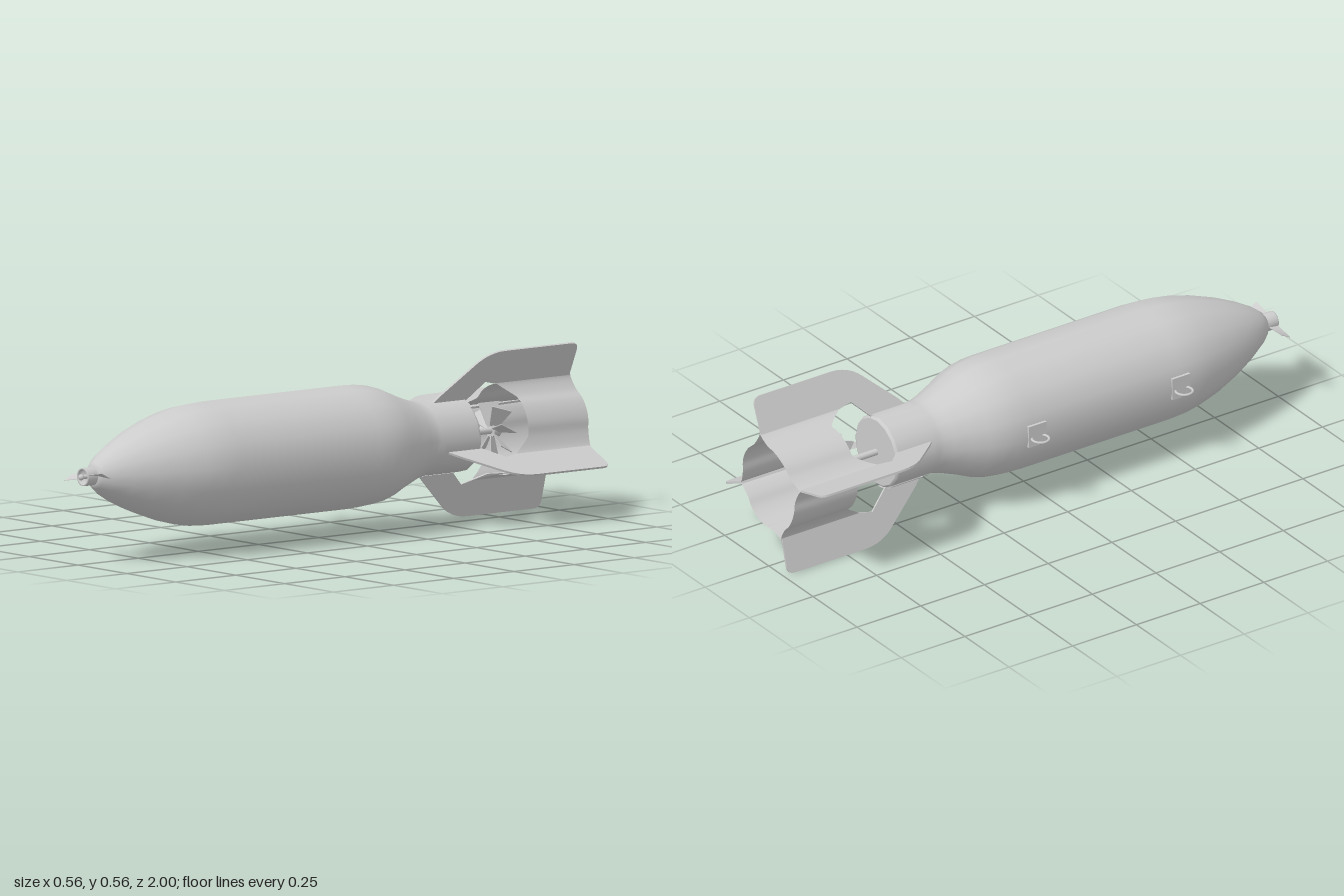
import * as THREE from 'three';

const CX = 0.004, CY = 0.289;
const RAD = Math.PI / 180;
const TIP = 0.298;

// Tail fins: angle of the tip around the axis, and direction of the plate
const FINS = [[68, 65], [163, 166], [253, 256.5], [338, 334.5]];

// Point on a fin's centre line at distance r from the axis
function finPoint(i, r) {
  const [tip, dir] = FINS[i];
  return new THREE.Vector3(
    TIP * Math.cos(tip * RAD) + (r - TIP) * Math.cos(dir * RAD),
    TIP * Math.sin(tip * RAD) + (r - TIP) * Math.sin(dir * RAD), 0);
}

export function createModel() {
  const model = new THREE.Group();
  model.name = 'finnedCasing';
  const root = new THREE.Group();
  root.name = 'assembly';
  root.position.set(CX, CY, 0);
  model.add(root);

  const grey = new THREE.MeshStandardMaterial({ color: 0xcccccc });
  const sheet = new THREE.MeshStandardMaterial({ color: 0xcccccc, side: THREE.DoubleSide });

  function add(name, geometry, material = grey, parent = root) {
    const mesh = new THREE.Mesh(geometry, material);
    mesh.name = name;
    parent.add(mesh);
    return mesh;
  }
  // Solid of revolution about z, from [radius, z] pairs running back to front
  function lathe(name, pairs, sides) {
    const g = new THREE.LatheGeometry(pairs.map(([r, z]) => new THREE.Vector2(r, z)), sides);
    g.rotateX(Math.PI / 2);
    g.rotateZ(2.8 * RAD);
    return add(name, g);
  }

  // Casing: tail cylinder, shoulder, barrel and rounded nose
  lathe('body', [
    [0, -0.576], [0.114, -0.576], [0.116, -0.576], [0.122, -0.57], [0.122, -0.565],
    [0.122, -0.41], [0.124, -0.39], [0.132, -0.36], [0.155, -0.3], [0.177, -0.25],
    [0.192, -0.2], [0.199, -0.15], [0.201, -0.1], [0.201, 0.48], [0.197, 0.55],
    [0.187, 0.61], [0.166, 0.69], [0.133, 0.78], [0.1, 0.85], [0.068, 0.905],
    [0.043, 0.935], [0.028, 0.946], [0, 0.946],
  ], 16);

  // Nose fuze: cupped collar with a rounded pin
  lathe('noseCollar', [
    [0.026, 0.93], [0.03, 0.942], [0.03, 0.982], [0.029, 0.985], [0.025, 0.985],
    [0.024, 0.982], [0.022, 0.968], [0, 0.968],
  ], 20);
  const pin = add('nosePin', new THREE.SphereGeometry(0.01, 12, 8));
  pin.position.z = 0.99;
  const stem = add('nosePinStem', new THREE.CylinderGeometry(0.007, 0.007, 0.03, 10).rotateX(Math.PI / 2));
  stem.position.z = 0.973;

  // Two nose vanes, pitched more towards the tips
  for (let k = 0; k < 2; k++) {
    const g = new THREE.BoxGeometry(0.072, 0.002, 0.036, 6, 1, 1);
    const p = g.attributes.position;
    for (let i = 0; i < p.count; i++) {
      const t = (p.getX(i) + 0.036) / 0.072;
      p.setY(i, p.getY(i) + p.getZ(i) * (0.12 + 0.42 * t) + 0.005 * t);
    }
    g.translate(0.06, 0.007, 0.965);
    g.rotateZ(k * Math.PI);
    g.computeVertexNormals();
    add('noseVane' + (k + 1), g);
  }

  // Fin plates with swept front, rounded outer corners and a cut-out at the root
  const s = new THREE.Shape();
  s.moveTo(0.43, 0.112);
  s.lineTo(0.46, 0.148);
  s.lineTo(0.565, 0.25);
  s.quadraticCurveTo(0.61, TIP, 0.68, TIP);
  s.lineTo(0.955, TIP);
  s.quadraticCurveTo(0.985, TIP, 0.985, 0.27);
  s.lineTo(0.987, 0.17);
  s.lineTo(0.74, 0.158);
  s.lineTo(0.635, 0.185);
  s.lineTo(0.57, 0.115);
  const finGeo = new THREE.ExtrudeGeometry(s, { depth: 0.007, bevelEnabled: false, curveSegments: 6 });
  finGeo.translate(0, 0, -0.0035);
  FINS.forEach(([, dir], i) => {
    // Shape x runs towards the tail, shape y outwards along the fin
    const out = new THREE.Vector3(Math.cos(dir * RAD), Math.sin(dir * RAD), 0);
    const back = new THREE.Vector3(0, 0, -1);
    const m = new THREE.Matrix4().makeBasis(back, out, new THREE.Vector3().crossVectors(back, out));
    m.setPosition(finPoint(i, 0));
    add('fin' + (i + 1), finGeo.clone().applyMatrix4(m));

    // Mounting strap wrapped on the tail cylinder
    const foot = finPoint(i, 0.125);
    const tab = new THREE.CylinderGeometry(0.125, 0.125, 0.145, 8, 1, true, -20 * RAD, 40 * RAD);
    tab.rotateX(Math.PI / 2);
    tab.rotateZ(Math.atan2(foot.y, foot.x) + Math.PI / 2);
    tab.translate(0, 0, -0.4975);
    add('finStrap' + (i + 1), tab, sheet);
  });

  // Curved tail shroud panels sweeping from one fin into the next
  FINS.forEach((_, i) => {
    const j = (i + 1) % 4;
    const a = finPoint(i, 0.15), b = finPoint(j, 0.15);
    const a0 = Math.atan2(a.y, a.x);
    let a1 = Math.atan2(b.y, b.x);
    if (a1 < a0) a1 += 2 * Math.PI;
    const arc = t => {
      const q = a0 + (a1 - a0) * t;
      return new THREE.Vector3(0.148 * Math.cos(q), 0.148 * Math.sin(q), 0);
    };
    const curve = new THREE.CatmullRomCurve3([
      finPoint(i, 0.215), finPoint(i, 0.18), arc(0.18), arc(0.34), arc(0.5),
      arc(0.66), arc(0.82), finPoint(j, 0.18), finPoint(j, 0.215)]);
    const g = new THREE.PlaneGeometry(1, 1, 28, 3);
    const p = g.attributes.position;
    for (let k = 0; k < p.count; k++) {
      const u = p.getX(k) + 0.5, v = p.getY(k) + 0.5;
      const bow = Math.sin(Math.PI * u);
      const c = curve.getPointAt(u);
      const front = -0.62 - 0.13 * Math.min(1, bow * 1.25);
      const rear = -0.985 - 0.015 * bow;
      p.setXYZ(k, c.x, c.y, rear + (front - rear) * v);
    }
    g.computeVertexNormals();
    add('shroudPanel' + (i + 1), g, sheet);
  });

  // Tail fuze: shaft, hub and a ring of pitched vanes
  const shaft = add('tailShaft', new THREE.CylinderGeometry(0.011, 0.011, 0.19, 12).rotateX(Math.PI / 2));
  shaft.position.z = -0.66;
  const hub = add('tailHub', new THREE.CylinderGeometry(0.022, 0.022, 0.03, 14).rotateX(Math.PI / 2));
  hub.position.z = -0.725;
  const fan = new THREE.Group();
  fan.name = 'tailFan';
  fan.position.z = -0.715;
  root.add(fan);
  for (let k = 0; k < 8; k++) {
    const g = new THREE.BoxGeometry(0.075, 0.003, 0.05, 4, 1, 1);
    const p = g.attributes.position;
    for (let i = 0; i < p.count; i++) {
      const t = (p.getX(i) + 0.0375) / 0.075;
      const w = p.getZ(i) * (0.5 + 0.7 * t);
      p.setZ(i, w);
      p.setY(i, p.getY(i) + w * 0.55);
    }
    g.translate(0.055, 0, 0);
    g.rotateZ((k * 45 + 10) * RAD);
    g.computeVertexNormals();
    add('tailVane' + (k + 1), g, grey, fan);
  }

  // Suspension lugs: a base pad on the side with a looped eye
  [-0.082, 0.482].forEach((z, k) => {
    const lug = new THREE.Group();
    lug.name = 'lug' + (k + 1);
    lug.position.set(-0.2, 0, z);
    root.add(lug);
    const pad = add('lugPad', new THREE.BoxGeometry(0.012, 0.076, 0.07), grey, lug);
    pad.position.x = 0.003;
    const eye = add('lugEye', new THREE.TorusGeometry(0.028, 0.0045, 8, 24), grey, lug);
    eye.rotation.x = Math.PI / 2;
    eye.position.set(-0.018, -0.008, 0);
  });

  return model;
}
